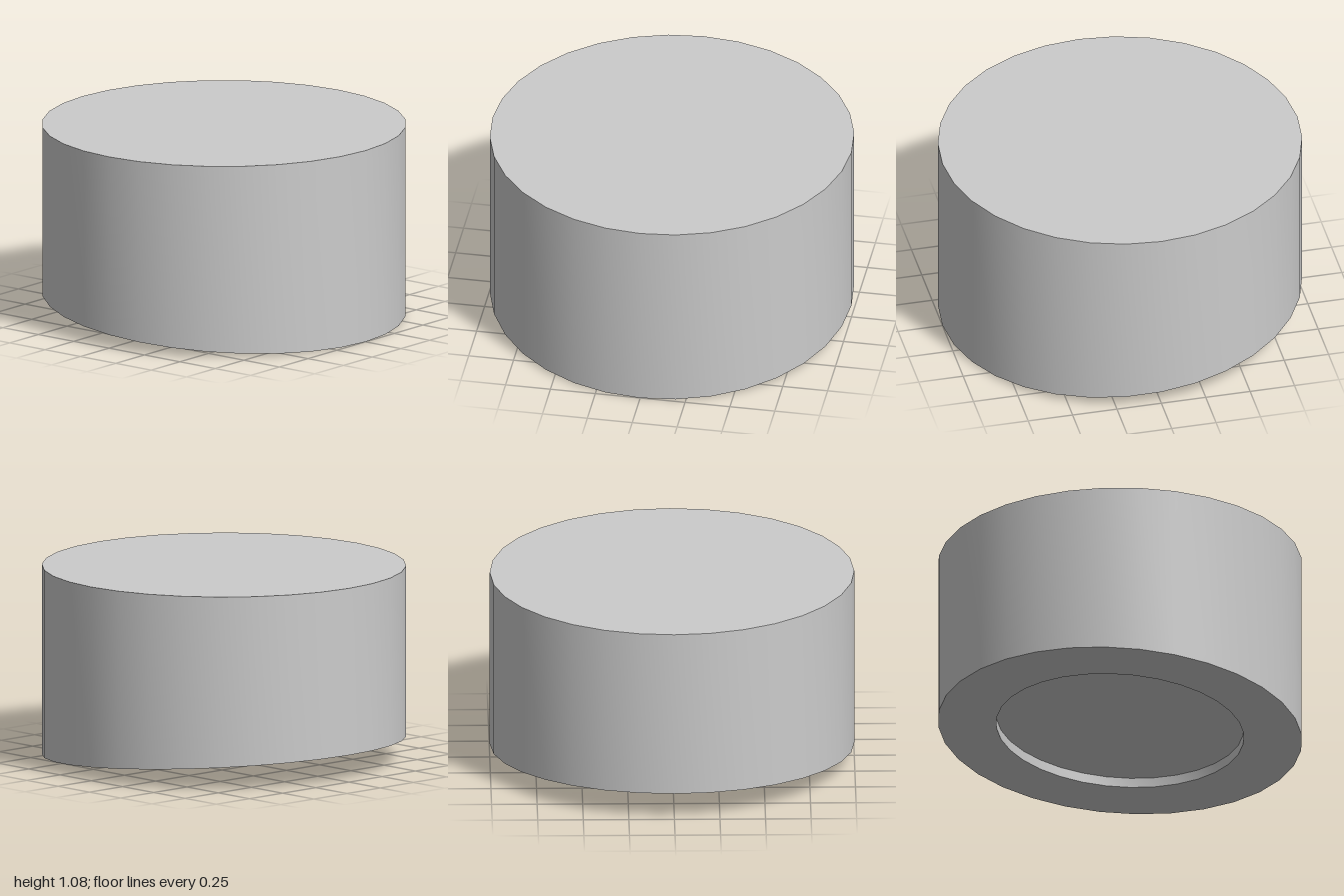
import * as THREE from 'three';
import { toCreasedNormals } from 'three/addons/utils/BufferGeometryUtils.js';

const HEIGHT = 1.08;
const RECESS_RADIUS = 0.68;
const RECESS_DEPTH = 0.055;

// Height of the slanted underside at a given x
const slantY = (x) => 0.075 * (1 - x);

export function createModel() {
  const group = new THREE.Group();
  group.name = 'slantedCylinder';

  // Profile from the recess centre, round the rim and up to the top centre
  const profile = [
    [0, RECESS_DEPTH], [RECESS_RADIUS, RECESS_DEPTH], [RECESS_RADIUS, 0],
    [1, 0], [1, HEIGHT], [0, HEIGHT],
  ].map(([r, y]) => new THREE.Vector2(r, y));
  const lathe = new THREE.LatheGeometry(profile, 32);

  // Shear the underside and its recess to the slant; the top stays level
  const pos = lathe.attributes.position;
  for (let i = 0; i < pos.count; i++) {
    const y = pos.getY(i);
    if (y < HEIGHT / 2) pos.setY(i, y + slantY(pos.getX(i)));
  }

  const body = new THREE.Mesh(
    toCreasedNormals(lathe, Math.PI / 6),
    new THREE.MeshStandardMaterial({ color: 0xcccccc }),
  );
  body.name = 'body';
  group.add(body);
  return group;
}
